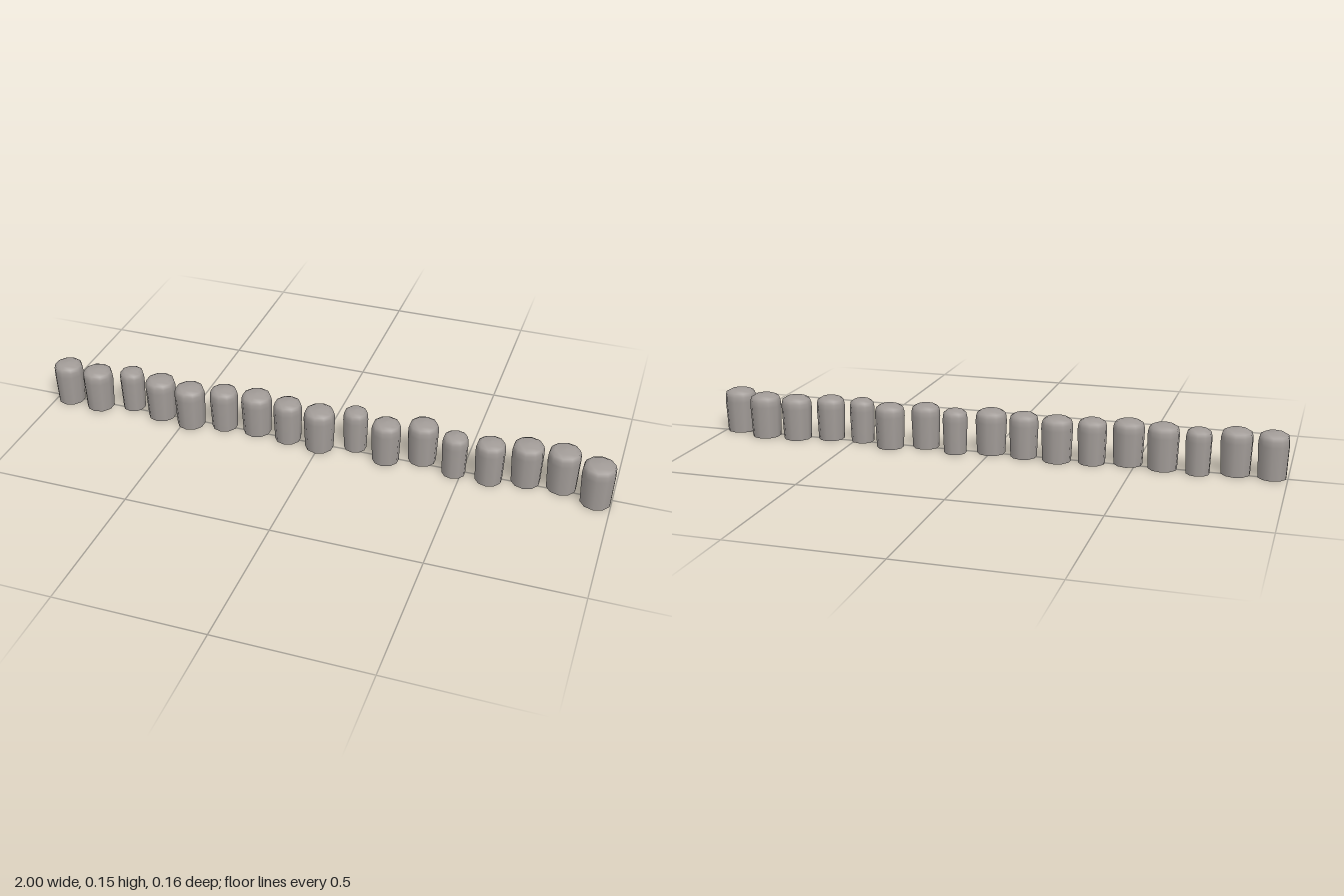
import * as THREE from 'three';

export function createModel() {
  const group = new THREE.Group();
  group.name = 'postRow';
  const stone = new THREE.MeshStandardMaterial({ color: 0xa29c98 });
  stone.name = 'warm grey stone';

  // Post profile: [fraction of radius, height], a slight taper and a rounded cap
  const profile = [[0.91, 0], [1, 0.112], [0.975, 0.13], [0.9, 0.143], [0.63, 0.151], [0, 0.153]];
  const sides = 10;

  // [z offset, radius] of each post, from right (-x) to left (+x)
  const posts = [
    [0.008, 0.052], [0.014, 0.0535], [-0.018, 0.0435], [0.001, 0.0535], [0.017, 0.0535],
    [-0.007, 0.0495], [-0.015, 0.0535], [-0.003, 0.0495], [0.009, 0.0535], [-0.026, 0.0425],
    [0.011, 0.05], [-0.027, 0.0515], [0.012, 0.0435], [0.011, 0.05], [-0.018, 0.0535],
    [-0.022, 0.055], [0.021, 0.056],
  ];
  const step = 0.1186;

  posts.forEach(([z, r], i) => {
    const post = new THREE.Group();
    post.name = 'post' + (i + 1);

    // Tapered body with its cap
    const points = profile.map(([k, y]) => new THREE.Vector2(k * r, y));
    const body = new THREE.Mesh(new THREE.LatheGeometry(points, sides), stone);
    body.name = 'postBody';

    // Flat underside, its corners in line with the body
    const disc = new THREE.CircleGeometry(profile[0][0] * r, sides, Math.PI / 2);
    disc.rotateX(Math.PI / 2);
    const base = new THREE.Mesh(disc, stone);
    base.name = 'postBase';

    post.add(body, base);
    post.position.set((i - (posts.length - 1) / 2) * step, 0, z);
    group.add(post);
  });

  return group;
}
